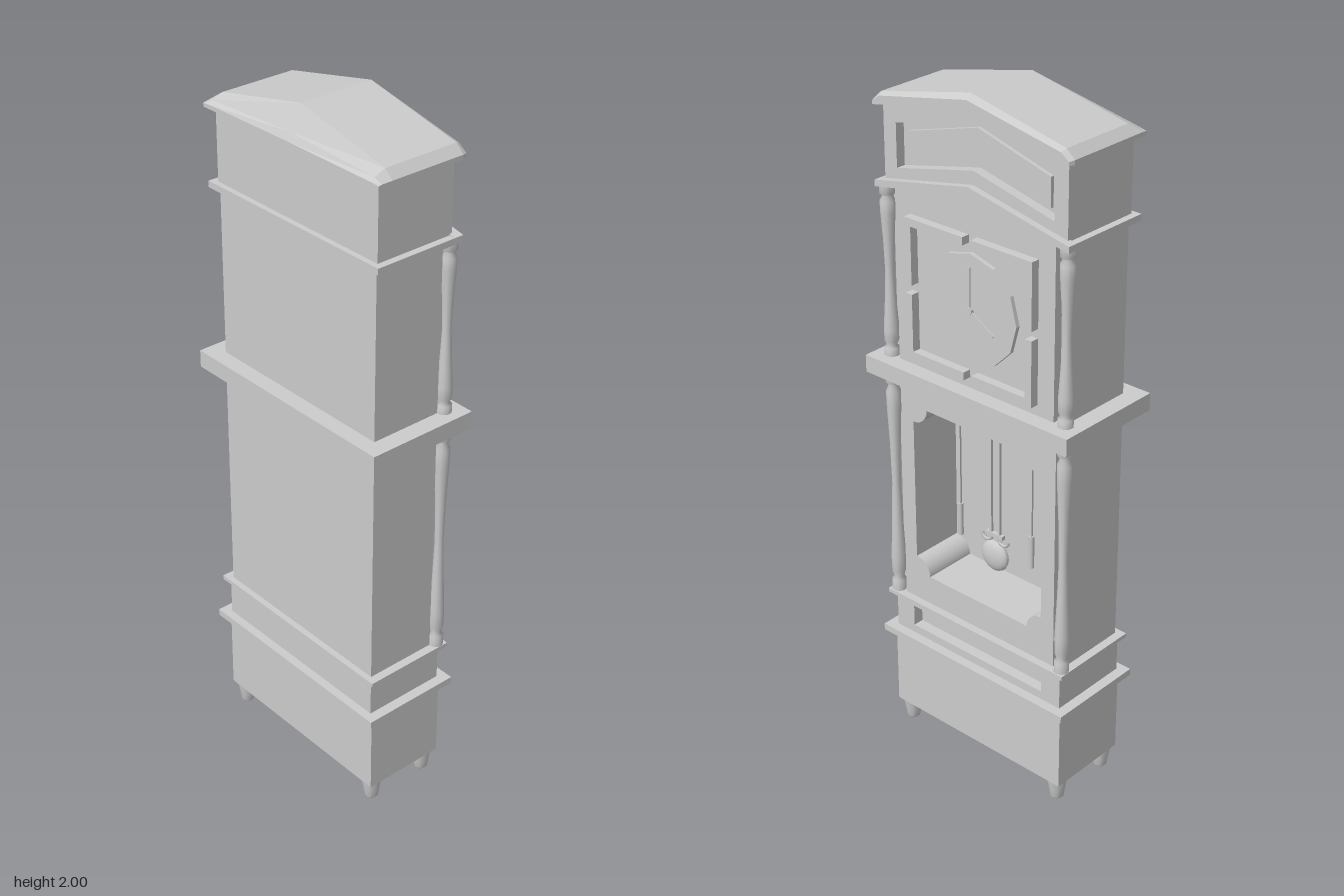
import * as THREE from 'three';

export function createModel() {
  const clock = new THREE.Group();
  const grey = new THREE.MeshStandardMaterial({ color: 0xcccccc, flatShading: true });
  const smooth = new THREE.MeshStandardMaterial({ color: 0xcccccc });

  const add = (name, geometry, x = 0, y = 0, z = 0, material = grey) => {
    const mesh = new THREE.Mesh(geometry, material);
    mesh.name = name;
    mesh.position.set(x, y, z);
    clock.add(mesh);
    return mesh;
  };
  // Box centred on x, given by half width and its y and z ranges
  const block = (name, hx, y0, y1, z0, z1, x = 0) =>
    add(name, new THREE.BoxGeometry(2 * hx, y1 - y0, z1 - z0), x, (y0 + y1) / 2, (z0 + z1) / 2);
  const polygon = (pts) => new THREE.Shape(pts.map((p) => new THREE.Vector2(...p)));
  // Outline (with optional holes) pushed from z0 to z1
  const slab = (name, shape, z0, z1, holes = []) => {
    shape.holes.push(...holes);
    const geo = new THREE.ExtrudeGeometry(shape, { depth: z1 - z0, bevelEnabled: false, curveSegments: 6 });
    return add(name, geo, 0, 0, z0);
  };
  const rect = (hx, y0, y1) => polygon([[-hx, y0], [hx, y0], [hx, y1], [-hx, y1]]);
  // Rectangle with a gabled top and, if wanted, a gabled bottom
  const gable = (hx, y0, y1, rise, lowRise = 0) =>
    polygon([[-hx, y0], [0, y0 + lowRise], [hx, y0], [hx, y1], [0, y1 + rise], [-hx, y1]]);

  // Base with four tapered feet
  block('base', 0.31, 0.065, 0.315, -0.125, 0.125);
  for (const x of [-0.28, 0.28]) {
    for (const z of [-0.095, 0.095]) {
      const profile = [[0, 0], [0.015, 0], [0.02, 0.006], [0.023, 0.03], [0.03, 0.068], [0.03, 0.08], [0, 0.08]];
      add('foot', new THREE.LatheGeometry(profile.map((p) => new THREE.Vector2(...p)), 10), x, 0, z, smooth);
    }
  }
  block('baseMoulding', 0.335, 0.31, 0.33, -0.15, 0.15);

  // Plinth with a sunken panel on its face
  slab('plinthFace', rect(0.305, 0.33, 0.442), -0.122, -0.09, [rect(0.24, 0.355, 0.42)]);
  block('plinth', 0.305, 0.33, 0.442, -0.09, 0.125);
  block('plinthMoulding', 0.325, 0.44, 0.452, -0.138, 0.138);

  // Pendulum case: door opening with scalloped corners
  const opening = (hx, y0, y1, r) => {
    const s = new THREE.Shape();
    s.moveTo(-hx + r, y0);
    s.lineTo(hx - r, y0);
    s.absarc(hx, y0, r, Math.PI, Math.PI / 2, true);
    s.lineTo(hx, y1 - r);
    s.absarc(hx, y1, r, -Math.PI / 2, -Math.PI, true);
    s.lineTo(-hx + r, y1);
    s.absarc(-hx, y1, r, 0, -Math.PI / 2, true);
    s.lineTo(-hx, y0 + r);
    s.absarc(-hx, y0, r, Math.PI / 2, 0, true);
    return s;
  };
  slab('caseWalls', rect(0.3, 0.45, 1.16), -0.095, 0.05, [opening(0.23, 0.54, 1.07, 0.05)]);
  slab('caseDoor', rect(0.275, 0.45, 1.16), -0.115, -0.095, [opening(0.23, 0.54, 1.07, 0.05)]);
  block('caseBack', 0.3, 0.45, 1.16, 0.05, 0.12);

  // Pendulum and hanging weights
  for (const x of [-0.015, 0.015]) block('pendulumRod', 0.004, 0.72, 1.075, -0.045, -0.037, x);
  block('pendulumBracket', 0.03, 0.715, 0.727, -0.047, -0.035);
  for (const s of [-1, 1]) {
    const curl = add('pendulumCurl', new THREE.TorusGeometry(0.018, 0.005, 6, 10, Math.PI), s * 0.03, 0.715, -0.041, smooth);
    curl.rotation.z = s > 0 ? Math.PI : -Math.PI;
    block('weightCord', 0.003, 0.77, 1.075, -0.043, -0.037, s * 0.13);
    add('weight', new THREE.CylinderGeometry(0.008, 0.008, 0.1, 8), s * 0.13, 0.72, -0.04, smooth);
  }
  const bob = add('pendulumBob', new THREE.SphereGeometry(0.047, 16, 10), 0, 0.655, -0.041, smooth);
  bob.scale.z = 0.4;

  block('middleMoulding', 0.352, 1.15, 1.2, -0.167, 0.167);

  // Turned corner columns, swelling at both ends
  const column = (x, y0, y1) => {
    const h = y1 - y0;
    const profile = [[0.021, 0], [0.021, 0.05], [0.013, 0.06], [0.02, 0.09], [0.021, 0.16], [0.016, 0.32],
      [0.012, 0.5], [0.015, 0.68], [0.02, 0.84], [0.021, 0.91], [0.013, 0.94], [0.021, 0.95], [0.021, 1]];
    const pts = profile.map(([r, t]) => new THREE.Vector2(r, t * h));
    add('column', new THREE.LatheGeometry(pts, 10), x, y0, -0.114, smooth);
  };
  for (const x of [-0.304, 0.304]) {
    column(x, 0.45, 1.152);
    column(x, 1.198, 1.685);
  }

  // Dial case with gabled front
  block('dialCase', 0.3, 1.2, 1.685, -0.095, 0.12);
  slab('dialPanel', gable(0.27, 1.2, 1.685, 0.06), -0.12, -0.095);
  block('dialCaseMoulding', 0.325, 1.68, 1.698, -0.115, 0.138);
  slab('gableMoulding', gable(0.325, 1.68, 1.698, 0.065, 0.06), -0.138, -0.11);

  // Dial frame: four rails, each broken by a notch in the middle
  for (const s of [-1, 1]) {
    for (const t of [-1, 1]) {
      const v = 1.43 + t * 0.105;
      block('dialFrameUpright', 0.011, v - 0.092, v + 0.092, -0.145, -0.12, s * 0.205);
      const w = 1.43 + s * 0.188;
      block('dialFrameRail', 0.101, w - 0.011, w + 0.011, -0.145, -0.12, t * 0.115);
    }
  }

  // Dial and hands
  const dial = add('dial', new THREE.CylinderGeometry(0.155, 0.155, 0.012, 12), 0, 1.43, -0.126);
  dial.rotation.x = Math.PI / 2;
  const hub = add('handHub', new THREE.CylinderGeometry(0.011, 0.011, 0.012, 10), 0, 1.43, -0.136);
  hub.rotation.x = Math.PI / 2;
  for (const [name, length, angle] of [['minuteHand', 0.12, 0], ['hourHand', 0.095, 2.1]]) {
    const hand = add(name, new THREE.BoxGeometry(0.008, length, 0.004).translate(0, length / 2, 0), 0, 1.43, -0.137);
    hand.rotation.z = angle;
  }

  // Hood with a sunken gabled panel
  slab('hoodFace', gable(0.305, 1.69, 1.9, 0.068), -0.118, -0.09, [gable(0.262, 1.74, 1.86, 0.065, 0.06)]);
  slab('hoodFront', gable(0.305, 1.69, 1.9, 0.068), -0.09, 0.05);
  slab('hoodPanel', gable(0.235, 1.76, 1.84, 0.065, 0.06), -0.1, -0.09);
  block('hoodBack', 0.305, 1.69, 1.905, 0.05, 0.122);

  // Roof: gable cross-sections from front to back, hipped at the back
  const section = (z, edge, eave, shoulder, peak, under) => [
    [-edge, 1.9], [0, under], [edge, 1.9], [edge, eave], [edge - 0.025, shoulder],
    [0, peak], [0.025 - edge, shoulder], [-edge, eave]].map(([x, y]) => [x, y, z]);
  const sections = [
    section(-0.14, 0.322, 1.91, 1.928, 1.985, 1.962),
    section(-0.125, 0.328, 1.912, 1.935, 2, 1.962),
    section(0.1, 0.328, 1.912, 1.935, 2, 1.9),
    section(0.133, 0.328, 1.912, 1.922, 1.935, 1.9),
    section(0.143, 0.328, 1.91, 1.912, 1.914, 1.9)];
  const n = sections[0].length;
  const index = [];
  for (let i = 0; i < sections.length - 1; i++) {
    for (let j = 0; j < n; j++) {
      const a = i * n + j, b = i * n + (j + 1) % n;
      index.push(a, b, b + n, a, b + n, a + n);
    }
  }
  const cap = (k, flip) => {
    const flat = sections[k].map(([x, y]) => new THREE.Vector2(x, y));
    for (const [a, b, c] of THREE.ShapeUtils.triangulateShape(flat, [])) {
      index.push(k * n + a, k * n + (flip ? c : b), k * n + (flip ? b : c));
    }
  };
  cap(0, true);
  cap(sections.length - 1, false);
  const roof = new THREE.BufferGeometry();
  roof.setAttribute('position', new THREE.Float32BufferAttribute(sections.flat(2), 3));
  roof.setIndex(index);
  const roofFlat = roof.toNonIndexed();
  roofFlat.computeVertexNormals();
  add('roof', roofFlat);

  return clock;
}
